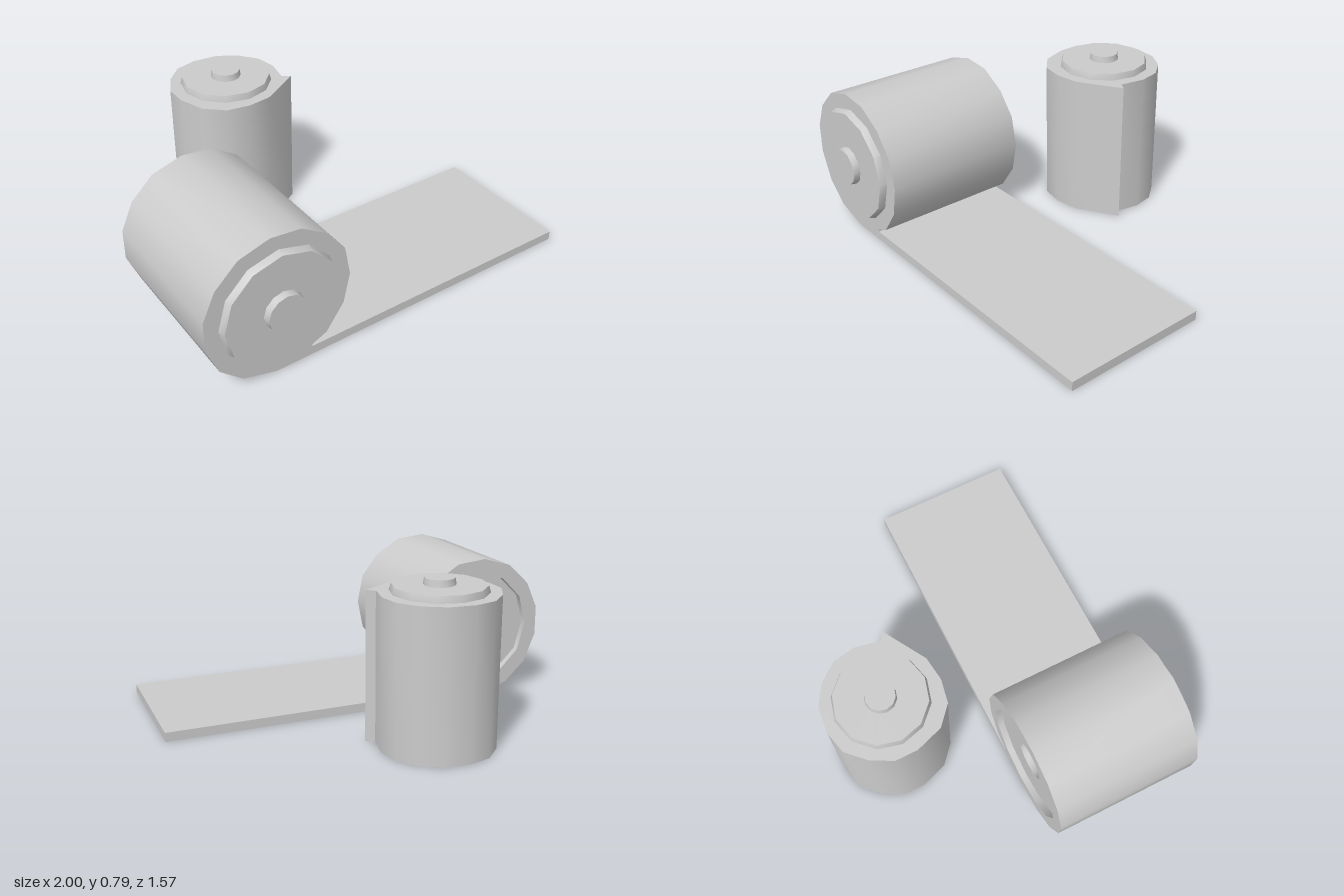
import * as THREE from 'three';
import { toCreasedNormals } from 'three/addons/utils/BufferGeometryUtils.js';

const material = new THREE.MeshStandardMaterial({ color: 0xcccccc });
const LENGTH = 0.73, STEP = 0.032, SIDES = 12, CREASE = 0.6;

function part(name, geometry) {
  const mesh = new THREE.Mesh(toCreasedNormals(geometry, CREASE), material);
  mesh.name = name;
  return mesh;
}

// A roll along +z: an outer layer around a core pushed out at one end
function makeRoll(name, outline, cx, cy, coreRadius, knobRadius) {
  const roll = new THREE.Group();
  roll.name = name;

  // Outer layer, with a polygonal hole for the core
  const shape = new THREE.Shape(outline.map(([x, y]) => new THREE.Vector2(x, y)));
  const hole = [];
  for (let i = 0; i < SIDES; i++) {
    const a = (i / SIDES) * Math.PI * 2;
    hole.push(new THREE.Vector2(cx + coreRadius * Math.cos(a), cy + coreRadius * Math.sin(a)));
  }
  shape.holes.push(new THREE.Path(hole));
  roll.add(part('outerLayer', new THREE.ExtrudeGeometry(shape, { depth: LENGTH, bevelEnabled: false })));

  // Core: recessed twice at the back, stepped out twice at the front
  const profile = [
    [0, STEP * 2], [knobRadius, STEP * 2], [knobRadius, STEP], [coreRadius, STEP],
    [coreRadius, LENGTH], [coreRadius * 0.96, LENGTH + STEP],
    [knobRadius, LENGTH + STEP], [knobRadius * 0.94, LENGTH + STEP * 2], [0, LENGTH + STEP * 2],
  ].map(([r, h]) => new THREE.Vector2(r, h));
  const core = part('core', new THREE.LatheGeometry(profile, SIDES));
  core.rotation.x = Math.PI / 2;
  core.position.set(cx, cy, 0);
  roll.add(core);
  return roll;
}

export function createModel() {
  const model = new THREE.Group();
  model.name = 'rolls';

  // Lying roll with its strip unrolled toward +x
  const lying = makeRoll('unrolledRoll', [
    [-0.665, 0.005], [-0.62, 0.004], [1, 0.004], [1, 0.05], [-0.475, 0.05], [-0.475, 0.062],
    [-0.4, 0.096], [-0.31, 0.225], [-0.28, 0.375], [-0.31, 0.525], [-0.4, 0.64],
    [-0.53, 0.72], [-0.68, 0.735], [-0.83, 0.69], [-0.94, 0.585],
    [-1, 0.45], [-1, 0.3], [-0.94, 0.155], [-0.83, 0.053],
  ], -0.642, 0.372, 0.292, 0.097);
  lying.position.z = -0.012;
  model.add(lying);

  // Standing roll with a loose end; the outline is (x, -z)
  const standing = makeRoll('standingRoll', [
    [-0.195, 0.788], [-0.07, 0.775], [0.03, 0.715], [0.1, 0.625], [0.12, 0.515],
    [0.095, 0.39], [0.135, 0.365], [-0.075, 0.24], [-0.195, 0.224], [-0.31, 0.245],
    [-0.4, 0.325], [-0.445, 0.46], [-0.445, 0.57], [-0.39, 0.675], [-0.305, 0.76],
  ], -0.163, 0.508, 0.228, 0.075);
  standing.rotation.x = -Math.PI / 2;
  standing.position.y = 0.004;
  model.add(standing);

  return model;
}
